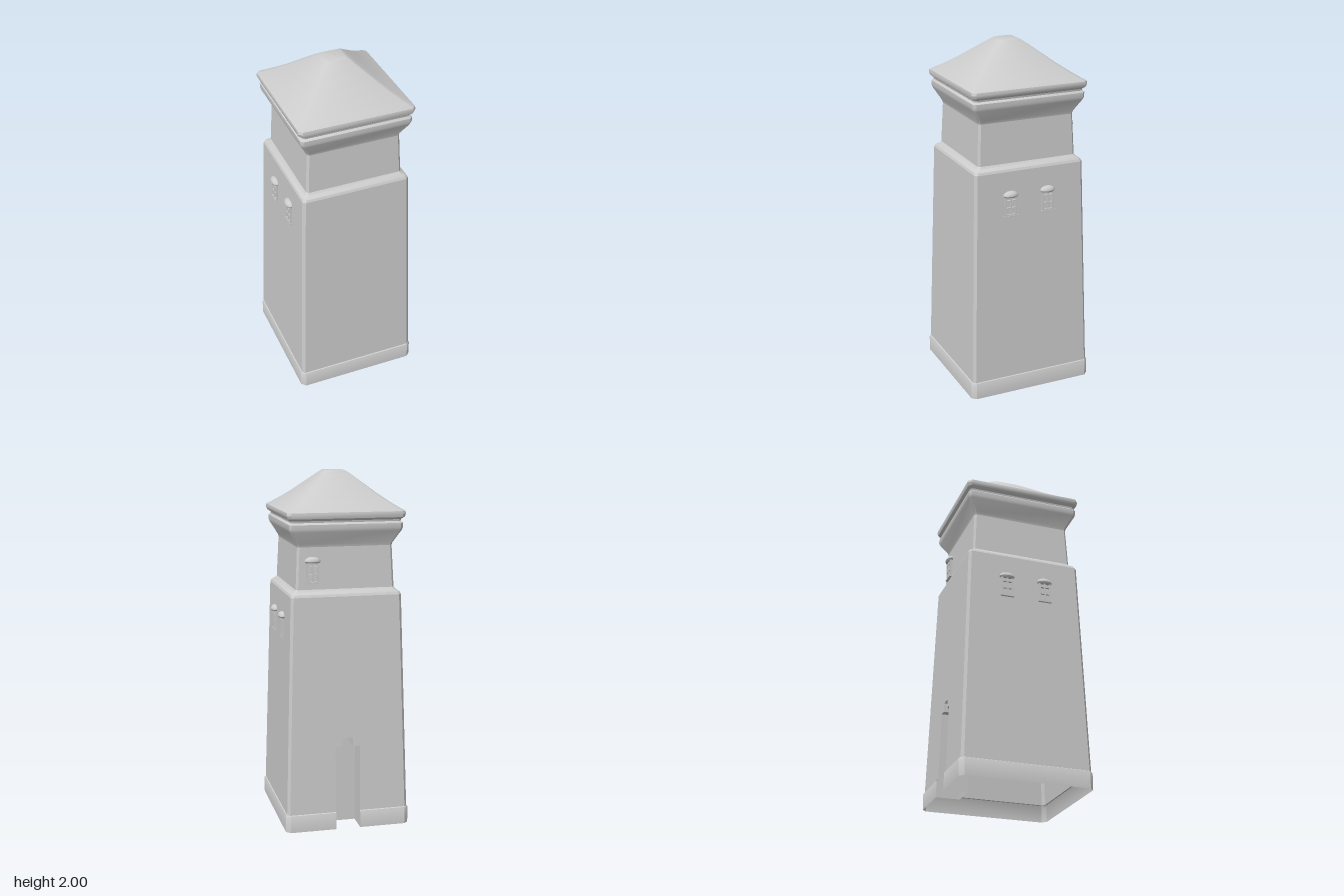
import * as THREE from 'three';
import { toCreasedNormals } from 'three/addons/utils/BufferGeometryUtils.js';

const stone = new THREE.MeshStandardMaterial({ color: 0xcccccc, side: THREE.DoubleSide });
stone.name = 'pale stone';

// Doorway sizes
const DOOR = 0.07, NOTCH = 0.03, DOOR_TOP = 0.48, NOTCH_TOP = 0.53, NICHE_Z = -0.24;

// Profile rows: [y, half width, half depth, corner chamfer]
const wall = (y) => {
  const t = (y - 0.1) / 1.23;
  return [y, 0.349 - 0.037 * t, 0.364 - 0.037 * t, 0.015];
};
const shaftRows = [
  [0, 0.357, 0.373, 0.024], [0.09, 0.357, 0.373, 0.024], [0.097, 0.354, 0.37, 0.022],
  wall(0.1), wall(DOOR_TOP), wall(NOTCH_TOP), wall(1.33),
];
const upperRows = [
  wall(1.33), [1.343, 0.306, 0.321, 0.015], [1.357, 0.287, 0.302, 0.015],
  [1.368, 0.278, 0.293, 0.012], [1.6, 0.267, 0.283, 0.012],
];
const corniceRows = [
  [1.6, 0.267, 0.283, 0.012], [1.615, 0.271, 0.287, 0.012], [1.685, 0.312, 0.327, 0.015],
  [1.7, 0.317, 0.332, 0.016], [1.725, 0.317, 0.332, 0.016], [1.735, 0.306, 0.321, 0.014],
  [1.745, 0.308, 0.323, 0.014],
];
const roofRows = [
  [1.745, 0.308, 0.323, 0.014], [1.757, 0.325, 0.338, 0.018], [1.775, 0.332, 0.343, 0.02],
  [1.79, 0.329, 0.34, 0.02], [1.805, 0.305, 0.315, 0.02], [1.84, 0.253, 0.262, 0.018],
  [1.88, 0.2, 0.206, 0.014], [1.93, 0.14, 0.144, 0.01], [1.975, 0.086, 0.086, 0.008],
  [1.995, 0.06, 0.06, 0.006], [2, 0.05, 0.05, 0.005], [2, 0.002, 0.002, 0.0005],
];

// Chamfered rectangle, with extra points across the back for the doorway
function ring([y, hx, hz, c], door) {
  const back = door ? [DOOR, NOTCH, -NOTCH, -DOOR].map((x) => [x, -hz]) : [];
  return [
    [-hx + c, hz], [hx - c, hz], [hx, hz - c], [hx, -hz + c], [hx - c, -hz],
    ...back,
    [-hx + c, -hz], [-hx, -hz + c], [-hx, hz - c],
  ].map(([x, z]) => [x, y, z]);
}

function fromQuads(quads, crease) {
  const pos = [];
  for (const [a, b, c, d] of quads) pos.push(...a, ...b, ...c, ...a, ...c, ...d);
  const g = new THREE.BufferGeometry();
  g.setAttribute('position', new THREE.Float32BufferAttribute(pos, 3));
  return toCreasedNormals(g, crease);
}

// Skin a stack of rings, leaving the doorway open when asked
function shell(rows, door = false, crease = 0.5) {
  const rings = rows.map((r) => ring(r, door));
  const quads = [];
  for (let j = 0; j < rings.length - 1; j++) {
    const n = rings[j].length, top = rows[j + 1][0];
    for (let i = 0; i < n; i++) {
      const k = (i + 1) % n;
      if (door && (i === 5 || i === 7) && top <= DOOR_TOP) continue;
      if (door && i === 6 && top <= NOTCH_TOP) continue;
      quads.push([rings[j][i], rings[j][k], rings[j + 1][k], rings[j + 1][i]]);
    }
  }
  return fromQuads(quads, crease);
}

function add(parent, name, geometry) {
  const m = new THREE.Mesh(geometry, stone);
  m.name = name;
  parent.add(m);
  return m;
}

// Door niche: jambs and stepped lintel running inward, closed by a back panel
function doorNiche() {
  const g = new THREE.Group();
  g.name = 'doorNiche';
  const backZ = (y) => -(y < 0.095 ? 0.373 : wall(y)[2]);
  const side = [
    [DOOR, 0], [DOOR, 0.09], [DOOR, 0.1], [DOOR, DOOR_TOP],
    [NOTCH, DOOR_TOP], [NOTCH, NOTCH_TOP],
  ];
  const outline = [...side, ...side.map(([x, y]) => [-x, y]).reverse()];
  const quads = [];
  for (let i = 0; i < outline.length - 1; i++) {
    const [x0, y0] = outline[i], [x1, y1] = outline[i + 1];
    quads.push([[x0, y0, backZ(y0)], [x1, y1, backZ(y1)], [x1, y1, NICHE_Z], [x0, y0, NICHE_Z]]);
  }
  add(g, 'doorJambs', fromQuads(quads, 0.3));
  const panel = new THREE.ShapeGeometry(new THREE.Shape(outline.map(([x, y]) => new THREE.Vector2(x, y))));
  panel.rotateY(Math.PI);
  add(g, 'doorPanel', panel).position.z = NICHE_Z;
  return g;
}

function rect(Type, x0, y0, x1, y1) {
  const p = new Type();
  p.moveTo(x0, y0);
  p.lineTo(x1, y0);
  p.lineTo(x1, y1);
  p.lineTo(x0, y1);
  p.closePath();
  return p;
}

// Window facing +z, origin at the middle of its sill on the wall
function makeWindow(name) {
  const g = new THREE.Group();
  g.name = name;
  const frame = rect(THREE.Shape, -0.035, 0.005, 0.035, 0.125);
  for (const [y0, y1] of [[0.015, 0.048], [0.055, 0.09], [0.097, 0.117]]) {
    frame.holes.push(rect(THREE.Path, -0.026, y0, -0.004, y1), rect(THREE.Path, 0.004, y0, 0.026, y1));
  }
  const bars = new THREE.ExtrudeGeometry(frame, { depth: 0.022, bevelEnabled: false });
  add(g, 'windowFrame', bars).position.z = -0.012;
  add(g, 'windowSill', new THREE.BoxGeometry(0.078, 0.009, 0.026)).position.set(0, 0.004, 0);
  // Curved hood over the frame
  const hood = new THREE.SphereGeometry(1, 16, 8, 0, Math.PI * 2, 0, Math.PI / 2);
  hood.scale(0.045, 0.026, 0.026);
  add(g, 'windowHood', hood).position.y = 0.123;
  const brim = new THREE.CylinderGeometry(1, 0.85, 0.008, 16);
  brim.scale(0.045, 1, 0.026);
  add(g, 'hoodBrim', brim).position.y = 0.119;
  return g;
}

export function createModel() {
  const model = new THREE.Group();
  model.name = 'tower';
  add(model, 'towerShaft', shell(shaftRows, true));
  add(model, 'upperStorey', shell(upperRows));
  add(model, 'cornice', shell(corniceRows));
  add(model, 'roof', shell(roofRows, false, 0.6));
  model.add(doorNiche());

  // Pairs of windows on both sides
  for (const s of [1, -1]) {
    for (const z of [0.12, -0.105]) {
      const w = makeWindow('sideWindow');
      w.position.set(s * 0.319, 1.072, z);
      w.rotation.y = s * Math.PI / 2;
      model.add(w);
    }
  }
  // Single window high on the back
  const w = makeWindow('backWindow');
  w.position.set(0.185, 1.4, -0.293);
  w.rotation.y = Math.PI;
  model.add(w);
  return model;
}
